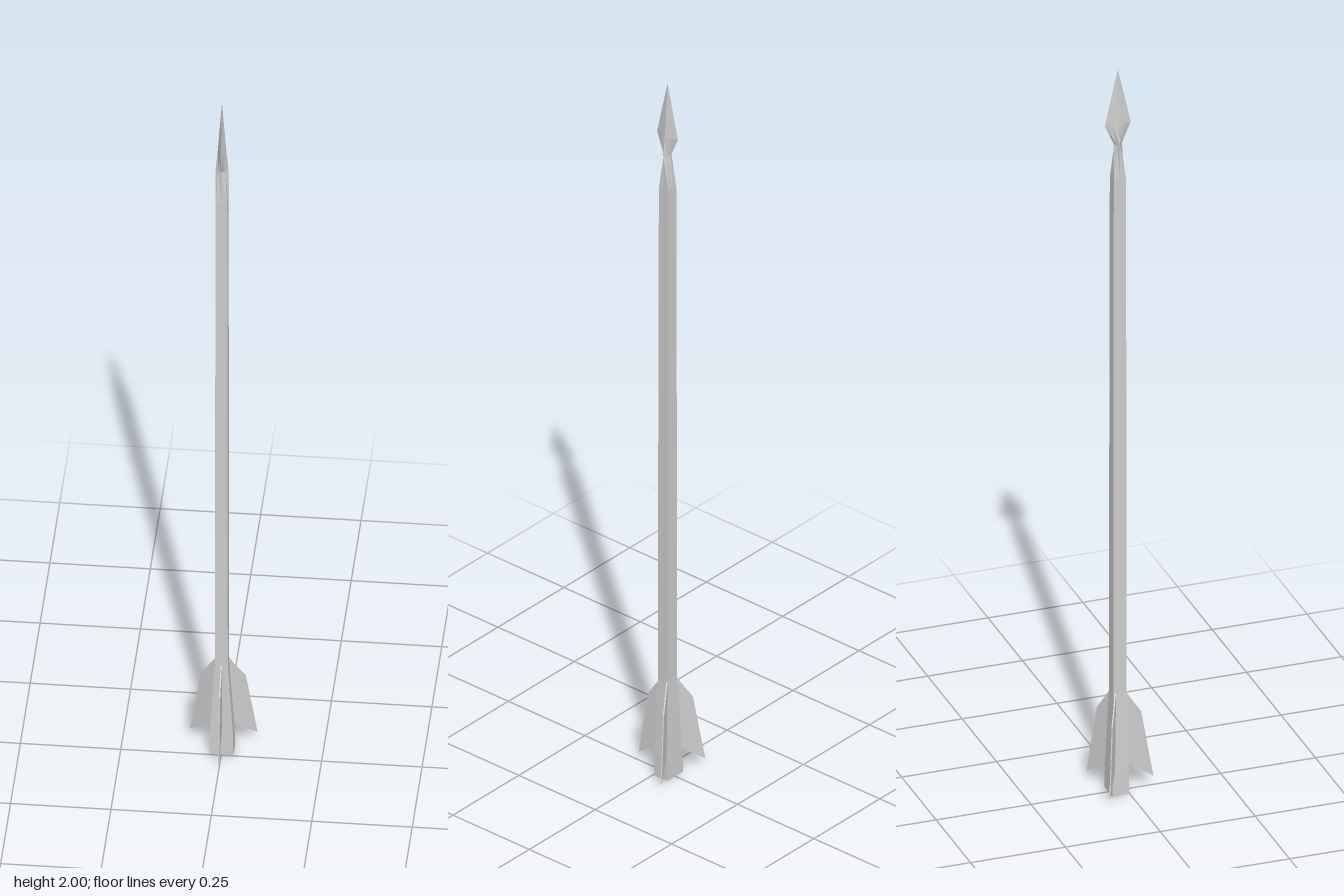
import * as THREE from 'three';

const material = new THREE.MeshStandardMaterial({ color: 0xcccccc, flatShading: true, side: THREE.DoubleSide });
const AXIS_Z = -0.021;

// Ring of 8 points: half sizes x/z of the sides, and how far the corners reach (1 = box, 0.5 = diamond)
function ring(y, hx, hz, corner, z = AXIS_Z) {
  const c = corner;
  return [[1, 0], [c, c], [0, 1], [-c, c], [-1, 0], [-c, -c], [0, -1], [c, -c]]
    .map(([x, d]) => new THREE.Vector3(x * hx, y, z + d * hz));
}

// Skin a stack of rings from bottom to top and cap both ends
function loft(name, rings) {
  const pos = [];
  const tri = (...pts) => pts.forEach((p) => pos.push(p.x, p.y, p.z));
  const n = rings[0].length;
  for (let r = 0; r < rings.length - 1; r++) {
    for (let i = 0; i < n; i++) {
      const j = (i + 1) % n, a = rings[r], b = rings[r + 1];
      tri(a[i], b[i], b[j]);
      tri(a[i], b[j], a[j]);
    }
  }
  const first = rings[0], last = rings[rings.length - 1];
  for (let i = 1; i < n - 1; i++) {
    tri(first[0], first[i], first[i + 1]);
    tri(last[0], last[i + 1], last[i]);
  }
  const geometry = new THREE.BufferGeometry();
  geometry.setAttribute('position', new THREE.Float32BufferAttribute(pos, 3));
  geometry.computeVertexNormals();
  const mesh = new THREE.Mesh(geometry, material);
  mesh.name = name;
  return mesh;
}

export function createModel() {
  const group = new THREE.Group();
  group.name = 'arrow';

  // Square shaft, pinched to a diamond neck under the head
  group.add(loft('shaft', [
    ring(0.27, 0.016, 0.0175, 1),
    ring(1.0, 0.0155, 0.017, 1),
    ring(1.7, 0.0145, 0.016, 1),
    ring(1.795, 0.016, 0.011, 0.5),
  ]));

  // Flared rectangular tail
  group.add(loft('nock', [
    ring(0, 0.03, 0.022, 1, -0.024),
    ring(0.065, 0.029, 0.021, 1, -0.0235),
    ring(0.28, 0.016, 0.0175, 1),
  ]));

  // Flat leaf-shaped head
  group.add(loft('arrowhead', [
    ring(1.795, 0.016, 0.011, 0.5),
    ring(1.85, 0.011, 0.034, 0.5),
    ring(2, 0.0002, 0.0002, 0.5),
  ]));

  // Three thin swept fins around the tail
  const outline = new THREE.Shape([
    [0.008, 0.28], [0.018, 0.278], [0.064, 0.21], [0.096, 0.025], [0.034, 0.068], [0.008, 0.068],
  ].map(([x, y]) => new THREE.Vector2(x, y)));
  const finGeometry = new THREE.ExtrudeGeometry(outline, { depth: 0.003, bevelEnabled: false });
  finGeometry.translate(0, 0, -0.0015);
  for (let i = 0; i < 3; i++) {
    const fin = new THREE.Mesh(finGeometry, material);
    fin.name = ['frontFin', 'leftFin', 'rightFin'][i];
    fin.position.z = AXIS_Z - 0.003;
    fin.rotation.y = -Math.PI / 2 + i * Math.PI * 2 / 3;
    group.add(fin);
  }

  return group;
}
